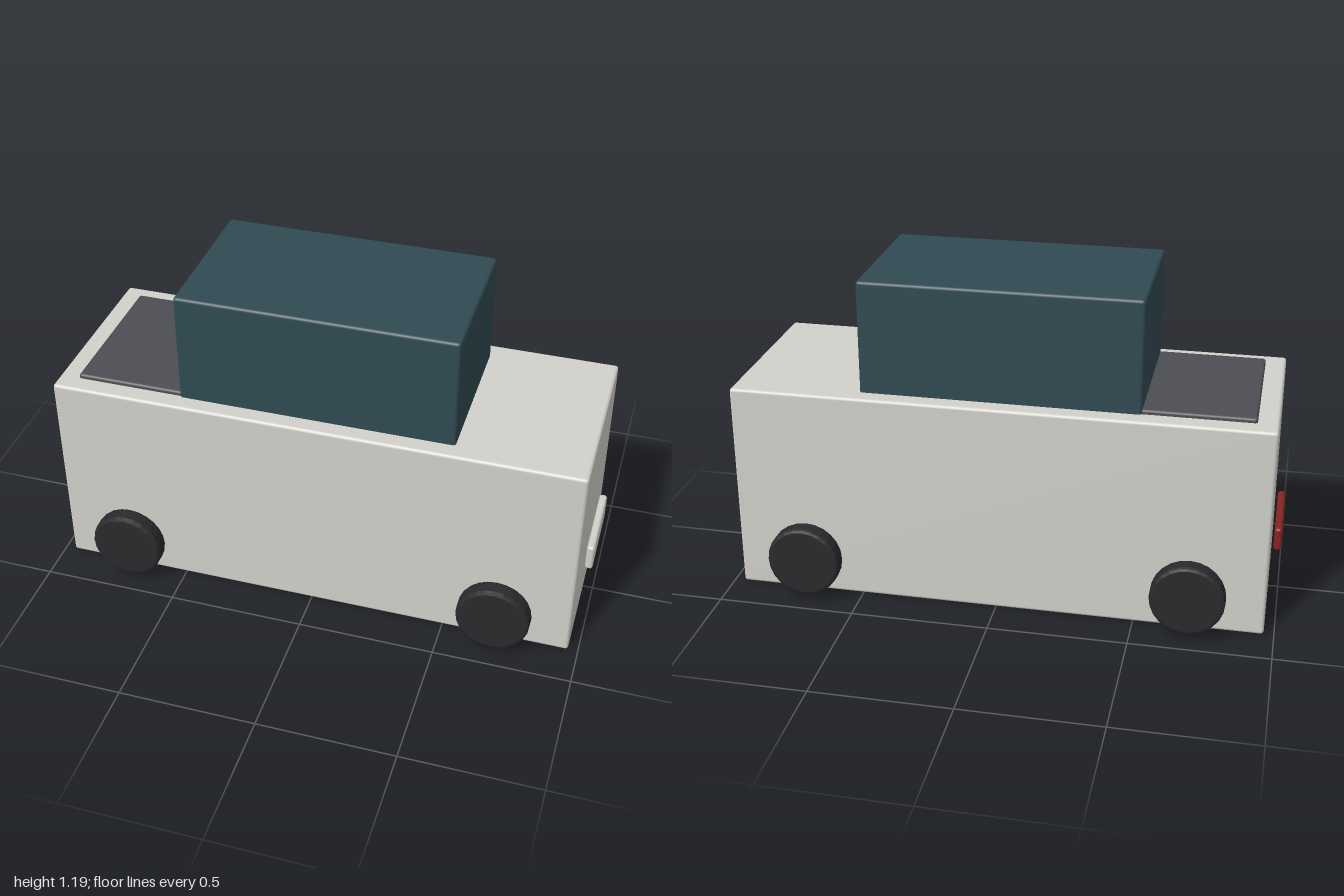
import * as THREE from 'three';
import { RoundedBoxGeometry } from 'three/addons/geometries/RoundedBoxGeometry.js';

const paint = (color) => new THREE.MeshStandardMaterial({ color });

export function createModel() {
  const model = new THREE.Group();

  // Softly rounded block given by its x, y and z ranges
  function block(name, [x0, x1], [y0, y1], [z0, z1], radius, material) {
    const geometry = new RoundedBoxGeometry(x1 - x0, y1 - y0, z1 - z0, 3, radius);
    const mesh = new THREE.Mesh(geometry, material);
    mesh.name = name;
    mesh.position.set((x0 + x1) / 2, (y0 + y1) / 2, (z0 + z1) / 2);
    model.add(mesh);
  }

  // Body, cabin and the dark cover of the load bed
  block('body', [-0.964, 0.964], [0, 0.78], [-0.352, 0.352], 0.012, paint(0xd1d0ca));
  block('cabin', [-0.5, 0.5], [0.7, 1.19], [-0.29, 0.29], 0.012, paint(0x304a52));
  block('bedCover', [-0.89, -0.49], [0.76, 0.796], [-0.284, 0.284], 0.01, paint(0x4d4e53));

  // Light bars float just off both ends
  block('headlight', [0.971, 0.999], [0.228, 0.329], [-0.158, 0.158], 0.01, paint(0xd1d0ca));
  block('tailLight', [-1, -0.973], [0.235, 0.322], [-0.158, 0.158], 0.01, paint(0x8a2420));

  // Wheels: a disc with bevelled rims, turned so its axle lies along z
  const radius = 0.133, half = 0.033, bevel = 0.012;
  const profile = [
    [0, -half], [radius - bevel, -half], [radius - 0.003, -half + 0.004], [radius, -half + bevel],
    [radius, half - bevel], [radius - 0.003, half - 0.004], [radius - bevel, half], [0, half],
  ].map(([x, y]) => new THREE.Vector2(x, y));
  const wheelGeometry = new THREE.LatheGeometry(profile, 24).rotateX(Math.PI / 2);
  const rubber = paint(0x292a2c);
  rubber.flatShading = true;
  for (const x of [-0.695, 0.695]) {
    for (const z of [-0.413, 0.413]) {
      const wheel = new THREE.Mesh(wheelGeometry, rubber);
      wheel.name = (x > 0 ? 'front' : 'rear') + (z > 0 ? 'Near' : 'Far') + 'Wheel';
      wheel.position.set(x, 0.157, z);
      model.add(wheel);
    }
  }

  return model;
}
